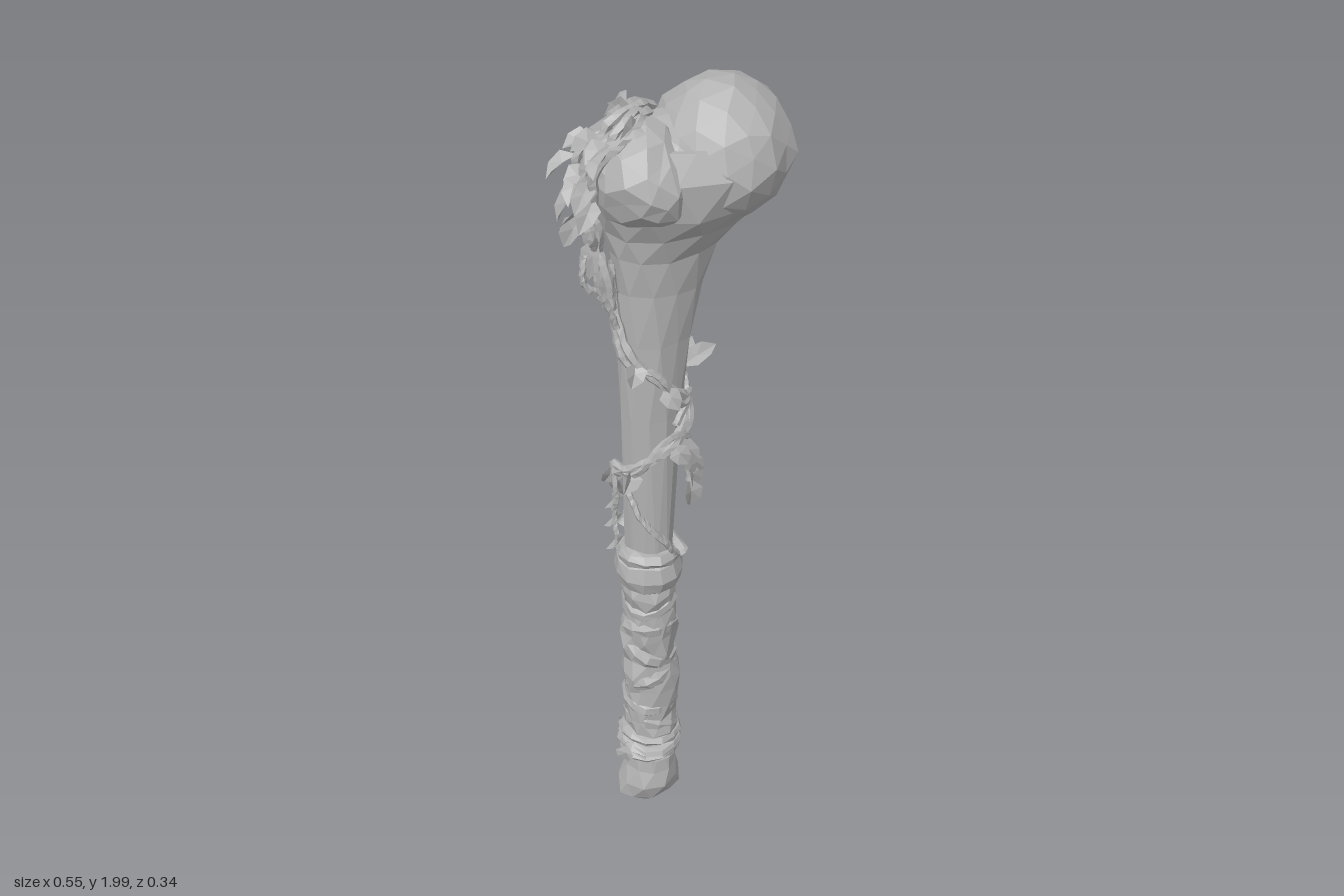
import * as THREE from 'three';

const bone = new THREE.MeshStandardMaterial({ color: 0xb2b2b2, flatShading: true, side: THREE.DoubleSide });
bone.name = 'plain grey';

const V = (x, y, z) => new THREE.Vector3(x, y, z);

// repeatable noise in -1..1
function noise(x, y, z, k) {
  const s = Math.sin(Math.round(x * 500) * 12.99 + Math.round(y * 500) * 78.23 + Math.round(z * 500) * 37.72 + k * 5.1) * 4375.85;
  return (s - Math.floor(s)) * 2 - 1;
}

// roughens a surface by moving coincident vertices alike
function roughen(geo, amount) {
  const p = geo.attributes.position;
  for (let i = 0; i < p.count; i++) {
    const x = p.getX(i), y = p.getY(i), z = p.getZ(i);
    p.setXYZ(i, x + amount * noise(x, y, z, 1), y + amount * noise(x, y, z, 2), z + amount * noise(x, y, z, 3));
  }
  geo.computeVertexNormals();
  return geo;
}

// skin over elliptical sections [y, left x, right x, half depth]
function loft(sections, n) {
  const pos = [], idx = [], last = (sections.length - 1) * n;
  sections.forEach(([y, x0, x1, rz], r) => {
    for (let i = 0; i < n; i++) {
      const a = ((i + (r % 2) * 0.5) / n) * Math.PI * 2;
      pos.push((x0 + x1) / 2 + Math.cos(a) * (x1 - x0) / 2, y, Math.sin(a) * rz);
    }
  });
  const lo = sections[0], hi = sections[sections.length - 1], c = sections.length * n;
  pos.push((lo[1] + lo[2]) / 2, lo[0], 0, (hi[1] + hi[2]) / 2, hi[0], 0);
  for (let i = 0; i < n; i++) {
    const j = (i + 1) % n;
    for (let r = 0; r < sections.length - 1; r++) {
      const b = r * n, t = b + n;
      if (r % 2) idx.push(b + i, t + i, t + j, b + i, t + j, b + j);
      else idx.push(b + i, t + i, b + j, b + j, t + i, t + j);
    }
    idx.push(c, i, j, c + 1, last + j, last + i);
  }
  const g = new THREE.BufferGeometry();
  g.setAttribute('position', new THREE.Float32BufferAttribute(pos, 3));
  g.setIndex(idx);
  return g;
}

// pointed leaf folded along its midrib
function leafGeometry(base, dir, length, width, turn) {
  const ref = Math.abs(dir.y) > 0.8 ? V(0, 0, 1) : V(0, 1, 0);
  const side = dir.clone().cross(ref).normalize().applyAxisAngle(dir, turn);
  const up = side.clone().cross(dir);
  const at = (l, w, h) => base.clone().addScaledVector(dir, l * length).addScaledVector(side, w * width).addScaledVector(up, h * width);
  const g = new THREE.BufferGeometry().setFromPoints([
    at(0, 0, 0), at(0.35, 0.5, 0.3), at(0.45, 0, 0), at(0.35, -0.5, 0.3),
    at(0.75, 0.38, 0.1), at(0.75, -0.38, 0.1), at(1, 0, -0.35),
  ]);
  g.setIndex([0, 1, 2, 0, 2, 3, 1, 4, 2, 2, 5, 3, 4, 6, 2, 2, 6, 5]);
  g.computeVertexNormals();
  return g;
}

export function createModel() {
  const model = new THREE.Group();
  const add = (name, geo, parent = model) => {
    const m = new THREE.Mesh(geo, bone);
    m.name = name;
    parent.add(m);
    return m;
  };

  // shaft flaring into the joint
  add('boneShaft', roughen(loft([
    [0.75, -0.105, 0.005, 0.052], [1.2, -0.115, 0.028, 0.06], [1.4, -0.12, 0.05, 0.066],
    [1.53, -0.125, 0.08, 0.072], [1.62, -0.135, 0.115, 0.083], [1.68, -0.148, 0.185, 0.105],
    [1.74, -0.17, 0.25, 0.145], [1.83, -0.175, 0.265, 0.16], [1.89, -0.14, 0.22, 0.125],
  ], 11), 0.005));

  // joint lobes, narrowing to a ridge on top
  const lobe = (name, x, y, sx, sy, sz, rough) => {
    const g = new THREE.IcosahedronGeometry(1, 2);
    const p = g.attributes.position;
    for (let i = 0; i < p.count; i++) p.setZ(i, p.getZ(i) * (1 - 0.15 * Math.max(0, p.getY(i))));
    g.scale(sx, sy, sz).translate(x, y, 0);
    add(name, roughen(g, rough));
  };
  lobe('ballJoint', 0.122, 1.836, 0.16, 0.162, 0.171, 0.006);
  lobe('sideKnob', -0.075, 1.815, 0.108, 0.125, 0.163, 0.01);
  lobe('jointBridge', 0.015, 1.81, 0.16, 0.12, 0.15, 0.006);

  // exposed foot of the bone
  add('boneFoot', roughen(loft([
    [0.01, -0.115, 0, 0.03], [0.03, -0.138, 0.022, 0.052], [0.07, -0.136, 0.022, 0.068],
    [0.12, -0.12, 0.01, 0.062], [0.2, -0.108, 0, 0.05],
  ], 9), 0.005));

  // crumpled wrapping of the grip
  const wrap = [];
  for (let i = 0; i <= 14; i++) {
    const r = 0.067 + (i % 3 === 0 ? 0.005 : 0) - (i % 2) * 0.003;
    wrap.push([0.17 + i * 0.043, -0.051 - r, -0.051 + r, r]);
  }
  add('gripWrap', roughen(loft(wrap, 10), 0.008));

  // overlapping bands wound round the grip
  const ring = (name, y, r, half, thick, tiltX, tiltZ) => {
    const pts = [-1, -0.8, 0, 0.8, 1].map(h =>
      new THREE.Vector2(r + thick * (0.5 - 1.5 * Math.pow(Math.abs(h), 4)), h * half));
    const m = add(name, roughen(new THREE.LatheGeometry(pts, 12), 0.003));
    m.position.set(-0.053, y, 0);
    m.rotation.set(tiltX, 0, tiltZ);
  };
  for (let i = 0; i < 6; i++) ring('gripBand', 0.27 + i * 0.078, 0.067, 0.025, 0.012, i % 2 ? 0.35 : -0.25, (i % 3 - 1) * 0.4);
  for (let i = 0; i < 3; i++) ring('lowerCord', 0.18 + i * 0.025, 0.076, 0.015, 0.014, i % 2 ? 0.12 : -0.1, 0.1 - i * 0.1);
  ring('upperCollar', 0.755, 0.078, 0.045, 0.016, 0.03, 0.02);
  ring('upperCollarFold', 0.798, 0.074, 0.02, 0.016, -0.12, -0.08);

  const vines = new THREE.Group();
  vines.name = 'vines';
  const leaves = new THREE.Group();
  leaves.name = 'leaves';
  model.add(vines, leaves);

  const vine = (points, r, name = 'vine') => {
    const curve = new THREE.CatmullRomCurve3(points);
    add(name, roughen(new THREE.TubeGeometry(curve, points.length * 5, r, 5), 0.002), vines);
    return curve;
  };

  // leaf growing outward from a vine, drooping by the given amount
  const sprout = (curve, t, length, droop) => {
    const p = curve.getPointAt(t);
    const dir = V(p.x + 0.05, 0, p.z).normalize();
    dir.x += 0.4 * noise(p.x, p.y, p.z, 4);
    dir.z += 0.7 * noise(p.x, p.y, p.z, 5);
    dir.y = -droop;
    add('leaf', leafGeometry(p, dir.normalize(), length, 0.05, noise(p.x, p.y, p.z, 6)), leaves);
  };

  // points round the shaft from [angle in degrees, height]
  const around = (list, r) => list.map(([a, y]) => {
    const t = a * Math.PI / 180;
    return V(-0.048 + Math.cos(t) * r, y, Math.sin(t) * r);
  });

  // pair of vines winding down to the collar
  const winding = [[185, 1.6], [172, 1.48], [140, 1.39], [95, 1.32], [50, 1.265], [10, 1.225], [35, 1.19],
    [80, 1.14], [130, 1.095], [175, 1.05], [215, 0.98], [265, 0.9], [305, 0.83], [400, 0.81]];
  const main = vine(around(winding, 0.085), 0.012);
  vine(around(winding.slice(0, 10).map(([a, y], i) => [a + 6, y + (i % 2 ? 0.025 : -0.02)]), 0.09), 0.01);
  [0.2, 0.28, 0.5, 0.6].forEach(t => sprout(main, t, 0.06, 0.9));
  const sprig = vine(around([[320, 1.31], [350, 1.28], [30, 1.24], [70, 1.2]], 0.088), 0.009);
  sprout(sprig, 0.1, 0.08, -0.5);
  sprout(sprig, 0.25, 0.1, -0.6);
  vine(around([[165, 1.0], [130, 0.93], [80, 0.86], [45, 0.8]], 0.066), 0.009);
  // small curl standing off the back above the collar
  vine(around([[240, 0.83], [270, 0.88], [285, 0.87], [300, 0.8]], 0.09), 0.012, 'vineCurl');

  // strands tumbling over the side knob
  for (let i = 0; i < 5; i++) {
    const s = i - 2, w = i % 2 ? 0.014 : -0.008;
    const strand = vine([
      V(-0.02 * i, 1.915, -0.06 + 0.012 * s), V(-0.06 + w, 1.945, -0.015 + 0.018 * s),
      V(-0.125, 1.925 + w, 0.02 + 0.02 * s), V(-0.185 + w, 1.86, 0.015 + 0.024 * s),
      V(-0.2 - w, 1.78, 0.01 + 0.02 * s), V(-0.185 + w, 1.7, -0.015 * s),
      V(-0.16 - w * 0.5, 1.6, 0.01 * s), V(-0.145, 1.5, 0.012 * s),
    ], 0.011 + 0.0015 * (i % 3));
    sprout(strand, 0.14, 0.06, 0.1);
    sprout(strand, 0.3, 0.07, 0.1);
    sprout(strand, 0.42 + 0.02 * s, 0.085, 0.5);
    if (i % 2 === 0) sprout(strand, 0.54 + 0.02 * s, 0.1, 1.6);
    else sprout(strand, 0.7, 0.11, 4);
  }
  vine([V(-0.21, 1.65, 0.03), V(-0.215, 1.59, 0.04), V(-0.17, 1.54, 0.04), V(-0.14, 1.46, 0.04)], 0.008);

  // leafy tendrils hanging on either side
  [
    [around([[180, 1.08], [172, 1.0], [178, 0.93], [172, 0.88]], 0.093), 0.055],
    [around([[45, 1.16], [30, 1.08], [32, 1.01]], 0.093), 0.09],
  ].forEach(([points, length]) => {
    const tendril = vine(points, 0.008, 'hangingTendril');
    [0.05, 0.35, 0.65, 0.95].forEach(t => sprout(tendril, t, length, 3.5));
  });

  // loose ends of the lower cord
  const ends = vine(around([[160, 0.21], [215, 0.18], [270, 0.22], [310, 0.2]], 0.083), 0.009, 'cordEnd');
  [0, 0.6].forEach(t => sprout(ends, t, 0.045, 2));

  return model;
}
